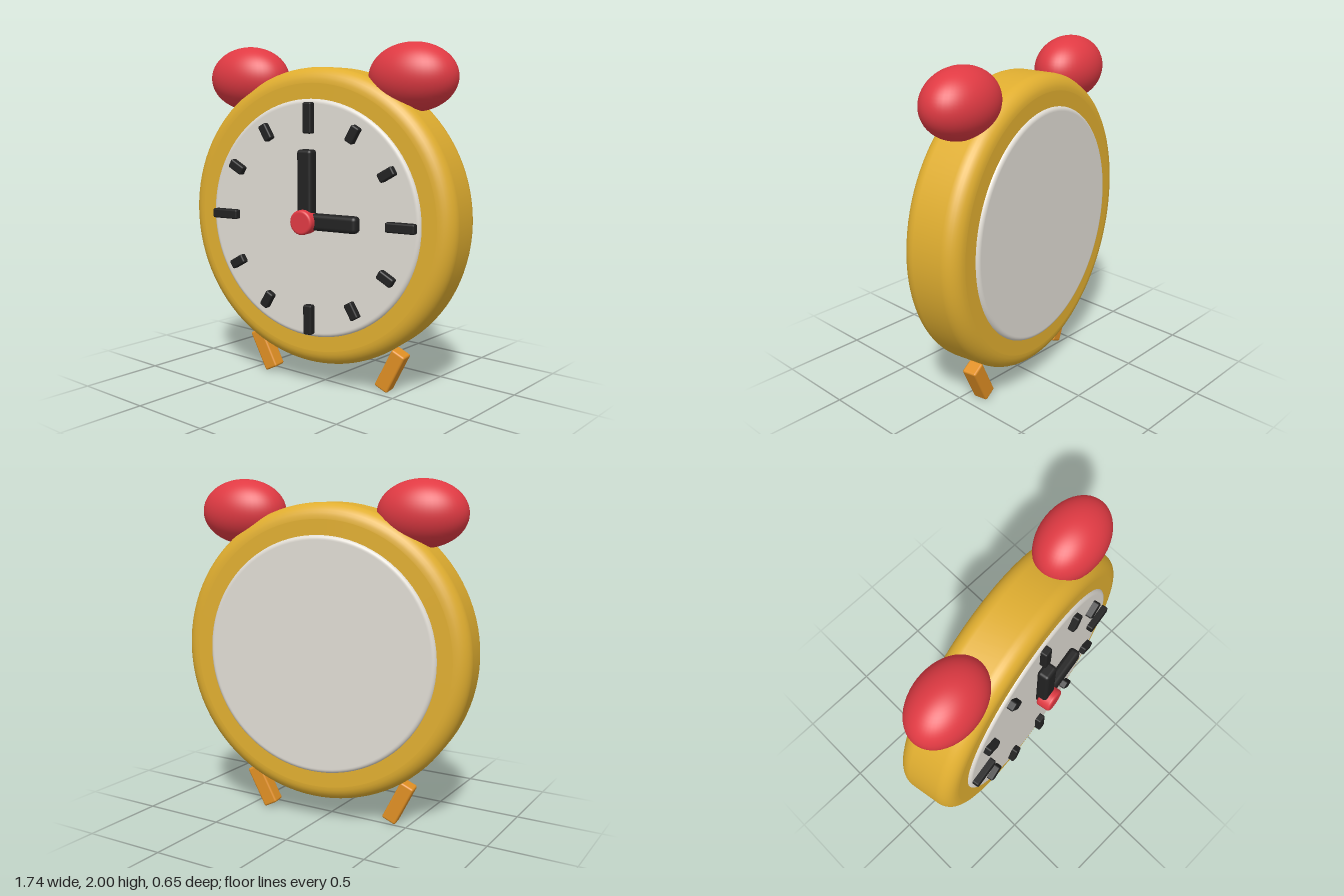
import * as THREE from 'three';
import { RoundedBoxGeometry } from 'three/addons/geometries/RoundedBoxGeometry.js';

const material = (name, color) => {
  const m = new THREE.MeshStandardMaterial({ color });
  m.name = name;
  return m;
};

// Solid disc facing z with rounded rims
function roundedDisc(radius, halfDepth, bevel, segments = 96) {
  const pts = [new THREE.Vector2(0, -halfDepth), new THREE.Vector2(radius - bevel - 0.002, -halfDepth)];
  const steps = 8;
  for (const side of [-1, 1]) {
    for (let i = 0; i <= steps; i++) {
      const a = (side < 0 ? i / steps - 1 : i / steps) * Math.PI / 2;
      pts.push(new THREE.Vector2(
        radius - bevel + bevel * Math.cos(a),
        side * (halfDepth - bevel) + bevel * Math.sin(a)));
    }
  }
  pts.push(new THREE.Vector2(radius - bevel - 0.002, halfDepth), new THREE.Vector2(0, halfDepth));
  return new THREE.LatheGeometry(pts, segments).rotateX(Math.PI / 2);
}

export function createModel() {
  const gold = material('gold', 0xe0ae30);
  const ivory = material('ivory', 0xe0dcd4);
  const red = material('red', 0xe03a43);
  const black = material('black', 0x222222);
  const orange = material('orange', 0xe08f24);

  const model = new THREE.Group();
  model.name = 'alarmClock';

  // The clock stands slightly turned
  const clock = new THREE.Group();
  clock.name = 'clock';
  clock.position.z = -0.018;
  clock.rotation.y = 0.172;
  model.add(clock);

  const centreY = 1.005;
  const add = (name, geometry, mat, x, y, z) => {
    const mesh = new THREE.Mesh(geometry, mat);
    mesh.name = name;
    mesh.position.set(x, y, z);
    clock.add(mesh);
    return mesh;
  };

  // Case, with one pale disc forming both the dial and the back plate
  add('case', roundedDisc(0.866, 0.179, 0.09), gold, 0, centreY, 0);
  add('dial', roundedDisc(0.688, 0.196, 0.025), ivory, 0, centreY, 0);

  // Bells and splayed feet on both sides
  for (const side of [-1, 1]) {
    const label = side > 0 ? 'left' : 'right';
    const bell = add(label + 'Bell', new THREE.SphereGeometry(1, 48, 32), red, side * 0.543, 1.81, 0);
    bell.scale.set(0.258, 0.19, 0.184);
    const foot = add(label + 'Foot', new RoundedBoxGeometry(0.09, 0.256, 0.092, 3, 0.012), orange,
      side * 0.437, 0.135, 0);
    foot.rotation.z = -side * 0.46;
  }

  // Hour markers, longer at the quarters
  for (let i = 0; i < 12; i++) {
    const quarter = i % 3 === 0;
    const angle = i * Math.PI / 6;
    const r = quarter ? 0.58 : 0.57;
    const marker = add('hourMarker' + i,
      new RoundedBoxGeometry(quarter ? 0.056 : 0.054, quarter ? 0.175 : 0.1, 0.06, 2, 0.01),
      black, r * Math.sin(angle), centreY + r * Math.cos(angle), 0.205);
    marker.rotation.z = -angle;
  }

  // Hands and centre knob
  add('minuteHand', new RoundedBoxGeometry(0.096, 0.45, 0.075, 4, 0.02), black, 0, centreY + 0.18, 0.23);
  add('hourHand', new RoundedBoxGeometry(0.37, 0.096, 0.07, 4, 0.025), black, 0.145, centreY - 0.002, 0.228);
  add('knob', roundedDisc(0.071, 0.045, 0.015, 32), red, 0, centreY - 0.003, 0.26);

  return model;
}
